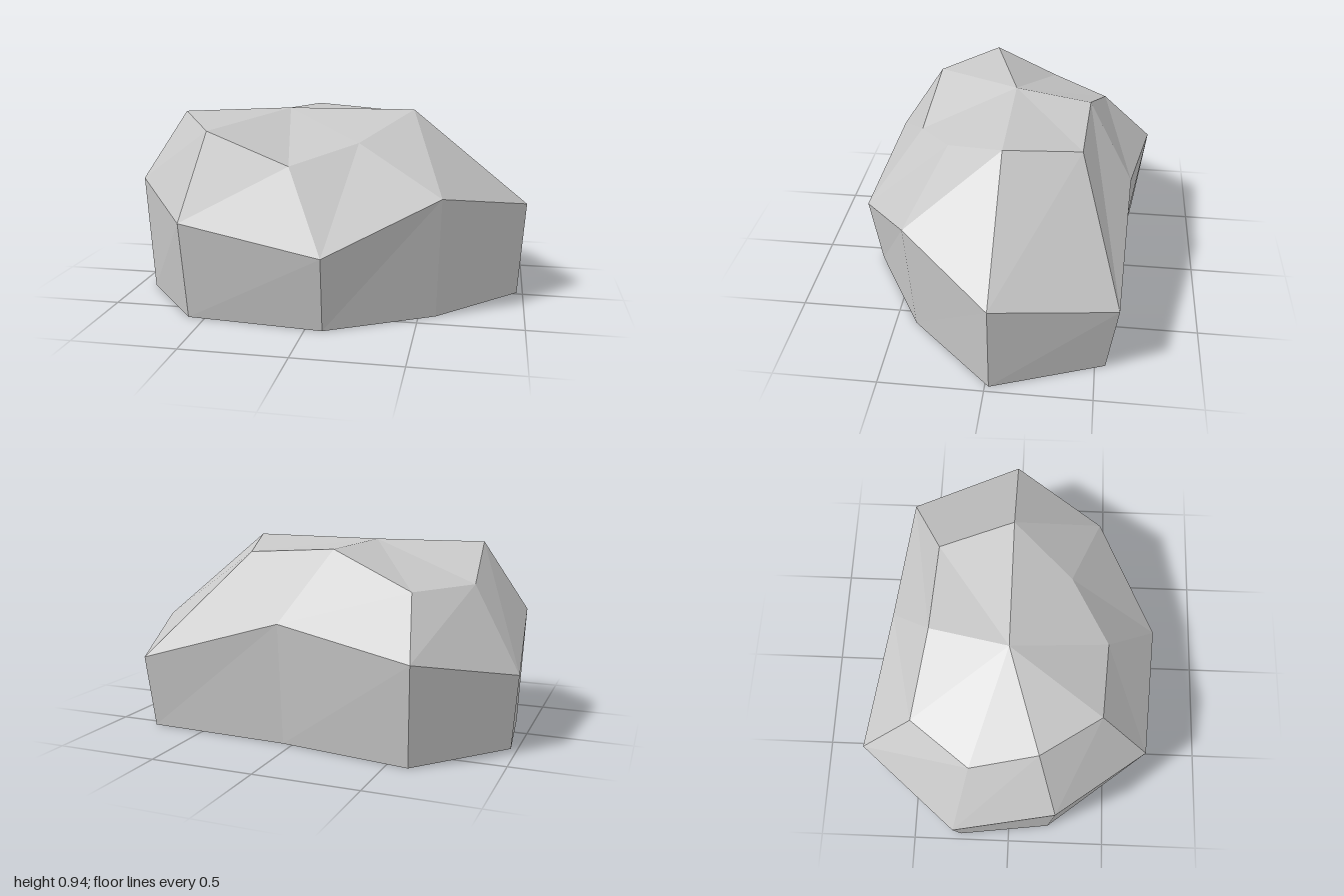
import * as THREE from 'three';

// Rings run from +x round towards +z, nine corners each, [x, y, z]
const rim = [
  [1.0, 0.475, -0.02], [0.6, 0.585, 0.43], [0.085, 0.36, 0.738],
  [-0.6, 0.475, 0.675], [-0.94, 0.585, 0.225], [-1.0, 0.36, -0.275],
  [-0.62, 0.475, -0.738], [0.05, 0.585, -0.63], [0.8, 0.36, -0.595],
];
const shoulder = [
  [0.42, 0.94, -0.02], [0.185, 0.81, 0.275], [-0.12, 0.72, 0.465],
  [-0.53, 0.87, 0.425], [-0.73, 0.925, 0.135], [-0.765, 0.755, -0.19],
  [-0.545, 0.745, -0.48], [-0.14, 0.915, -0.405], [0.3, 0.885, -0.385],
];
const crown = [-0.22, 0.935, -0.02];

// The foot is the rim drawn in slightly and dropped to the ground
const foot = rim.map(([x, , z]) => [x * 0.97, 0, z * 0.925]);

// Two triangles per side between a lower and an upper ring
function band(lower, upper) {
  return lower.flatMap((a, i) => {
    const j = (i + 1) % lower.length;
    return [lower[j], a, upper[i], lower[j], upper[i], upper[j]];
  });
}

// Fan closing a ring at a single point
function cap(ring, tip) {
  return ring.flatMap((a, i) => [tip, ring[(i + 1) % ring.length], a]);
}

function facetedMesh(name, corners, material) {
  const geometry = new THREE.BufferGeometry();
  geometry.setAttribute('position', new THREE.Float32BufferAttribute(corners.flat(), 3));
  geometry.computeVertexNormals();
  const mesh = new THREE.Mesh(geometry, material);
  mesh.name = name;
  return mesh;
}

export function createModel() {
  const stone = new THREE.MeshStandardMaterial({
    name: 'pale grey stone', color: 0xc8c8c8, flatShading: true, side: THREE.DoubleSide,
  });

  const rock = new THREE.Group();
  rock.name = 'rock';
  // Hollow shell, open underneath
  rock.add(
    facetedMesh('rockSides', band(foot, rim), stone),
    facetedMesh('rockSlopes', band(rim, shoulder), stone),
    facetedMesh('rockTop', cap(shoulder, crown), stone),
  );
  return rock;
}
